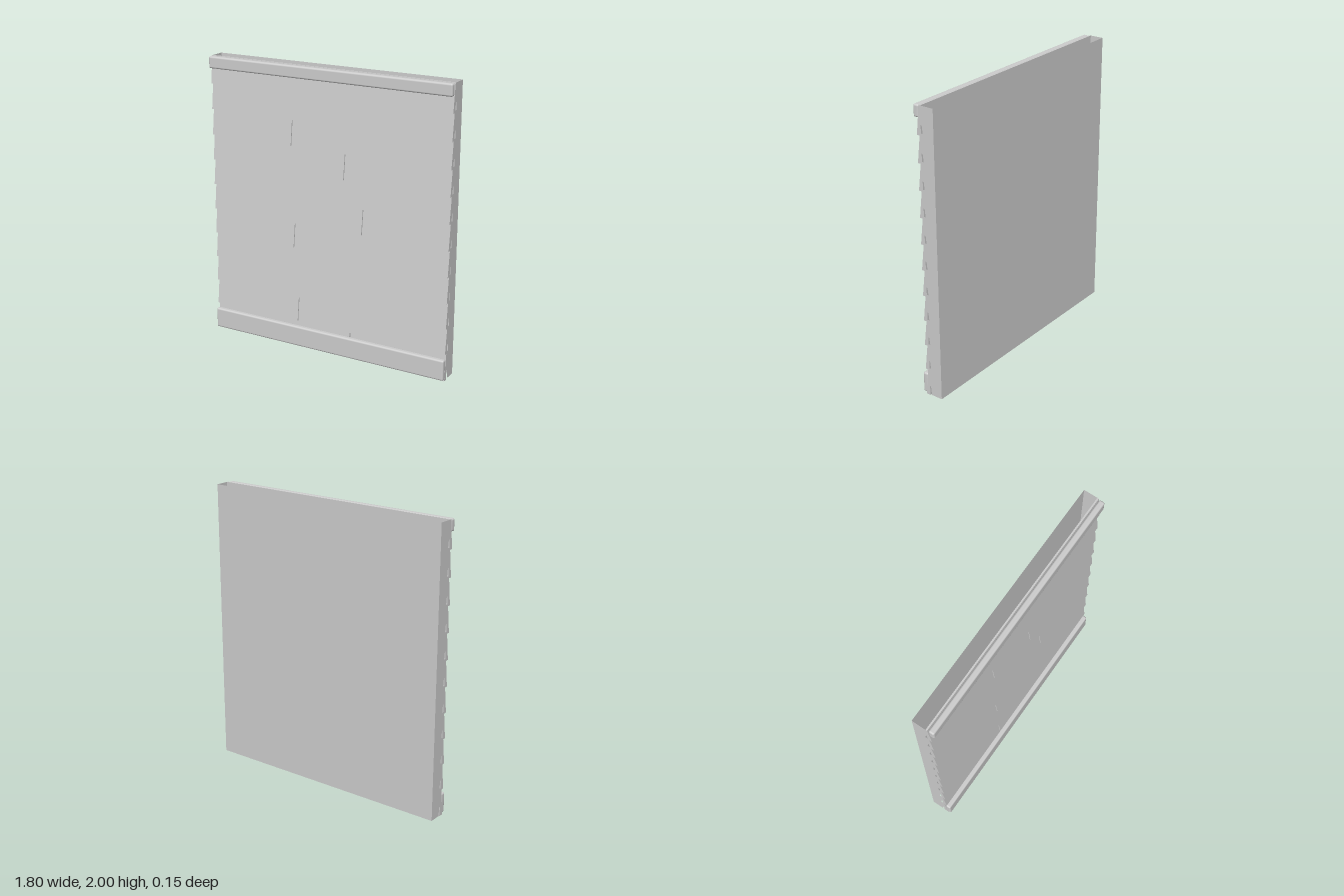
import * as THREE from 'three';
import { RoundedBoxGeometry } from 'three/addons/geometries/RoundedBoxGeometry.js';

const HALF = 0.9, BACK = -0.077, ROWS = 11, STEP = 0.18;
const rowBottom = (k) => (k === 0 ? 0 : 0.01 + STEP * k);
const rowTop = (k) => (k === ROWS - 1 ? 2 : 0.01 + STEP * (k + 1));

// Shape drawn in (z, y); turning it puts the drawing's x along world z.
function profile(points) {
  return new THREE.Shape(points.map(([z, y]) => new THREE.Vector2(z, y)));
}

export function createModel() {
  const group = new THREE.Group();
  group.name = 'clapboardWall';
  const grey = new THREE.MeshStandardMaterial({ color: 0xcccccc, side: THREE.DoubleSide });
  grey.name = 'plain grey';

  function add(name, geometry, x = 0, y = 0, z = 0) {
    const mesh = new THREE.Mesh(geometry, grey);
    mesh.name = name;
    mesh.position.set(x, y, z);
    group.add(mesh);
  }

  // Hollow core: back sheet and two end sheets, open at top and bottom
  add('backSheet', new THREE.PlaneGeometry(2 * HALF, 1.995).rotateY(Math.PI), 0, 1.0025, BACK);

  // End sheet with a thin wedge notch behind the foot of every board
  const edge = [[BACK, 2], [BACK, 0.005], [0.006, 0.005], [0.012, 0.065], [0.02, 0.07]];
  for (let k = 1; k < ROWS; k++) {
    const y = rowBottom(k);
    edge.push([0.02, y + 0.015], [0.006, y + 0.015], [0.012, y + 0.065], [0.02, y + 0.07]);
  }
  edge.push([0.02, 2]);
  for (const side of [-1, 1]) {
    const sheet = new THREE.ShapeGeometry(profile(edge)).rotateY(-Math.PI / 2);
    add(side > 0 ? 'leftEndSheet' : 'rightEndSheet', sheet, side * HALF);
  }

  // Tapered boards, some rows split by a narrow joint
  const joints = { 0: 0.18, 1: -0.225, 4: -0.252, 5: 0.272, 7: 0.135, 8: -0.267 };
  for (let k = 0; k < ROWS; k++) {
    const y0 = rowBottom(k), y1 = rowTop(k);
    const section = profile([[0.02, y0], [0.052, y0], [0.031, y1], [0.02, y1]]);
    const gap = k === 0 ? 0.004 : 0.0025;
    const spans = k in joints
      ? [[-HALF, joints[k] - gap], [joints[k] + gap, HALF]]
      : [[-HALF, HALF]];
    for (const [a, b] of spans) {
      const board = new THREE.ExtrudeGeometry(section, { depth: b - a, bevelEnabled: false });
      add('board', board.rotateY(-Math.PI / 2), b);
    }
  }

  // Rounded trim rails along the top and the foot
  const rail = (name, y0, y1) =>
    add(name, new RoundedBoxGeometry(2 * HALF, y1 - y0, 0.04, 4, 0.012), 0, (y0 + y1) / 2, 0.057);
  rail('topRail', 1.918, 2);
  rail('footRail', 0.01, 0.155);

  return group;
}
